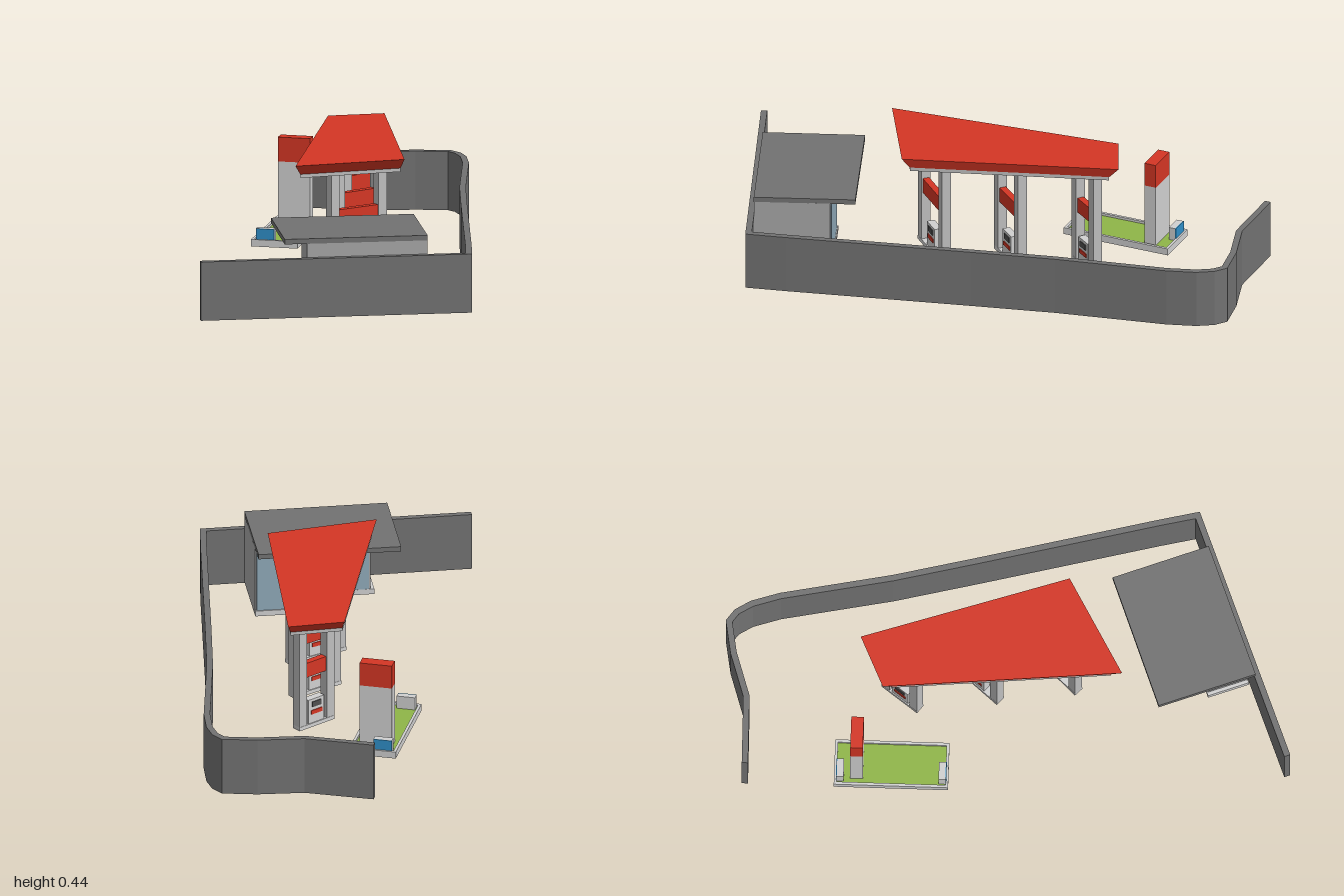
import * as THREE from 'three';

const mat = (name, color) => {
  const m = new THREE.MeshStandardMaterial({ color });
  m.name = name;
  return m;
};

export function createModel() {
  const root = new THREE.Group();
  root.name = 'fuelStation';
  const wallGrey = mat('wall grey', 0x727272);
  const midGrey = mat('building grey', 0xa6a6a6);
  const postGrey = mat('post grey', 0xbebebe);
  const lightGrey = mat('light grey', 0xd0d0d0);
  const red = mat('red', 0xd43624);
  const green = mat('grass green', 0x8fb548);
  const blue = mat('blue', 0x2f8fc8);
  const glass = mat('glass', 0x8fa9b8);
  const dark = mat('dark screen', 0x505050);

  const add = (parent, name, geo, material) => {
    const m = new THREE.Mesh(geo, material);
    m.name = name;
    parent.add(m);
    return m;
  };
  // Flat slab from an [x, z] outline between two heights
  const slab = (pts, y0, y1) => {
    const s = new THREE.Shape(pts.map(([x, z]) => new THREE.Vector2(x, -z)));
    const g = new THREE.ExtrudeGeometry(s, { depth: y1 - y0, bevelEnabled: false });
    return g.rotateX(-Math.PI / 2).translate(0, y0, 0);
  };
  // Box given by its min and max corners
  const box = (x0, x1, y0, y1, z0, z1) =>
    new THREE.BoxGeometry(x1 - x0, y1 - y0, z1 - z0)
      .translate((x0 + x1) / 2, (y0 + y1) / 2, (z0 + z1) / 2);
  const scaled = (pts, [cx, cz], k) => pts.map(([x, z]) => [cx + (x - cx) * k, cz + (z - cz) * k]);
  // Group whose x axis runs from a to b, centred between them
  const between = (name, a, b) => {
    const g = new THREE.Group();
    g.name = name;
    g.position.set((a[0] + b[0]) / 2, 0, (a[1] + b[1]) / 2);
    g.rotation.y = Math.atan2(-(b[1] - a[1]), b[0] - a[0]);
    root.add(g);
    return [g, Math.hypot(b[0] - a[0], b[1] - a[1])];
  };

  // Boundary wall: centre line offset to both sides with mitred corners
  const path = [[-0.495, -0.915], [-0.246, -0.918], [-0.087, -0.968], [0.03, -0.988], [0.066, -0.962],
    [0.098, -0.91], [0.13, -0.812], [0.21, -0.42], [0.283, -0.13], [0.447, 0.505], [0.479, 0.637], [-0.405, 0.98]];
  const normal = (a, b) => {
    const l = Math.hypot(b[0] - a[0], b[1] - a[1]);
    return [-(b[1] - a[1]) / l, (b[0] - a[0]) / l];
  };
  const offset = (w) => path.map((p, i) => {
    const n0 = normal(path[Math.max(i - 1, 0)], path[Math.max(i, 1)]);
    const e = Math.min(i, path.length - 2);
    const n1 = normal(path[e], path[e + 1]);
    const k = w / (1 + n0[0] * n1[0] + n0[1] * n1[1]);
    return [p[0] + (n0[0] + n1[0]) * k, p[1] + (n0[1] + n1[1]) * k];
  });
  add(root, 'boundaryWall', slab([...offset(0.011), ...offset(-0.011).reverse()], 0, 0.21), wallGrey);

  // Canopy: fascia tapers inward towards the bottom
  const canopy = [[-0.278, -0.44], [-0.095, -0.523], [0.146, 0.2], [-0.2, 0.395]];
  const mid = [-0.1, -0.08];
  const roofGeo = slab(canopy, 0.4, 0.437);
  const pos = roofGeo.attributes.position;
  for (let i = 0; i < pos.count; i++) {
    if (pos.getY(i) < 0.41) {
      pos.setX(i, mid[0] + (pos.getX(i) - mid[0]) * 0.92);
      pos.setZ(i, mid[1] + (pos.getZ(i) - mid[1]) * 0.92);
    }
  }
  roofGeo.computeVertexNormals();
  add(root, 'canopyRoof', roofGeo, red);
  add(root, 'canopySoffit', slab(scaled(canopy, mid, 0.918), 0.387, 0.4), postGrey);

  // Pump islands, each with two posts, a sign panel and a pump
  const islands = [
    [[-0.105, 0.228], [0.032, 0.086]],
    [[-0.15, -0.045], [-0.04, -0.172]],
    [[-0.19, -0.325], [-0.115, -0.425]],
  ];
  for (const [a, b] of islands) {
    const [g, len] = between('pumpIsland', a, b);
    const h = len / 2;
    add(g, 'islandBase', box(-h - 0.017, h + 0.017, 0, 0.014, -0.018, 0.018), lightGrey);
    for (const s of [-1, 1]) {
      add(g, 'canopyPost', box(s * h - 0.017, s * h + 0.017, 0, 0.388, -0.017, 0.017), postGrey);
    }
    add(g, 'signPanel', box(-h + 0.017, h - 0.017, 0.195, 0.25, -0.012, 0.012), red);
    add(g, 'pumpCabinet', box(-0.036, 0.036, 0.014, 0.105, -0.014, 0.014), lightGrey);
    for (const s of [-1, 1]) {
      const plate = (w, hh) => new THREE.BoxGeometry(w, hh, 0.004);
      add(g, 'pumpScreen', plate(0.04, 0.02), dark).position.set(0, 0.085, s * 0.015);
      add(g, 'pumpStripe', plate(0.05, 0.015), red).position.set(0, 0.055, s * 0.015);
    }
  }

  // Shop with a stepped back
  const body = [[0.34, 0.68], [-0.057, 0.83], [-0.109, 0.693], [0.01, 0.648], [-0.033, 0.535], [0.245, 0.43]];
  add(root, 'shopBody', slab(body, 0, 0.26), midGrey);
  add(root, 'shopPlinth', slab(scaled(body, body[0], 1.03), 0, 0.02), lightGrey);
  add(root, 'shopRoof', slab([[-0.258, 0.525], [0.213, 0.348], [0.341, 0.68], [-0.13, 0.86]], 0.259, 0.277), wallGrey);
  for (const [a, b] of [[body[3], body[2]], [body[5], body[4]]]) {
    const [g, len] = between('shopWindow', a, b);
    add(g, 'windowGlass', box(-len / 2 + 0.006, len / 2 - 0.006, 0.02, 0.25, -0.004, 0.004), glass);
  }

  // Planted kerb island with the tall sign
  const [x0, x1, z0, z1] = [-0.5, -0.333, -0.604, -0.204];
  const t = 0.01;
  add(root, 'lawn', box(x0 + t, x1 - t, 0.008, 0.024, z0 + t, z1 - t), green);
  add(root, 'kerbSide', box(x0, x0 + t, 0.008, 0.033, z0, z1), lightGrey);
  add(root, 'kerbSide', box(x1 - t, x1, 0.008, 0.033, z0, z1), lightGrey);
  add(root, 'kerbEnd', box(x0 + t, x1 - t, 0.008, 0.033, z0, z0 + t), lightGrey);
  add(root, 'kerbEnd', box(x0 + t, x1 - t, 0.008, 0.033, z1 - t, z1), lightGrey);
  add(root, 'signPost', box(-0.473, -0.357, 0.02, 0.25, -0.547, -0.503), lightGrey);
  add(root, 'signTop', box(-0.473, -0.357, 0.25, 0.337, -0.547, -0.503), red);

  // Small boxes at both kerb ends with blue outer faces
  for (const s of [-1, 1]) {
    const zc = -0.404 + s * 0.178;
    add(root, 'kerbBox', box(-0.484, -0.418, 0.02, 0.071, zc - 0.012, zc + 0.012), lightGrey);
    const zf = zc + s * 0.013;
    add(root, 'kerbBoxFace', box(-0.484, -0.418, 0.033, 0.071, zf - 0.002, zf + 0.002), blue);
  }
  return root;
}
